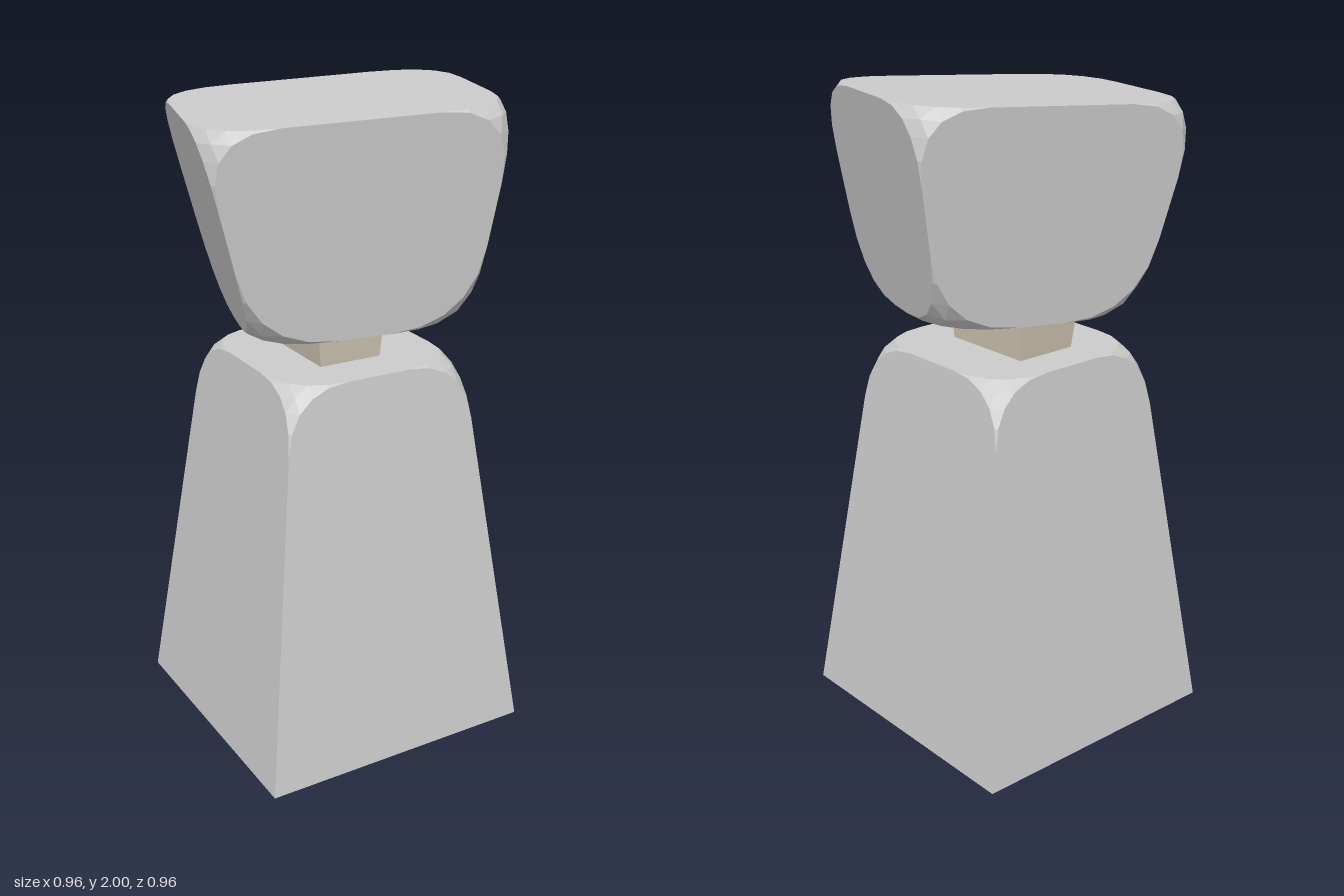
import * as THREE from 'three';
import { ConvexGeometry } from 'three/addons/geometries/ConvexGeometry.js';

const SEGMENTS = 5;

// Tapered block with flat faces, sharp edges and rounded-off corners.
// bottom/top: { y, x, z, round } with half widths and the corner cut length.
function taperedBlock(bottom, top) {
  const points = [];
  const corner = (level, sx, sz) => new THREE.Vector3(sx * level.x, level.y, sz * level.z);
  for (const [level, other] of [[bottom, top], [top, bottom]]) {
    for (const sx of [-1, 1]) for (const sz of [-1, 1]) {
      const p = corner(level, sx, sz);
      if (!level.round) { points.push(p); continue; }
      // the three edges leaving this corner, cut to the rounding length
      const edges = [corner(level, -sx, sz), corner(other, sx, sz), corner(level, sx, -sz)]
        .map((q) => q.sub(p).setLength(level.round));
      for (let i = 0; i < 3; i++) {
        const a = p.clone().add(edges[i]);
        const b = p.clone().add(edges[(i + 1) % 3]);
        points.push(...new THREE.QuadraticBezierCurve3(a, p, b).getPoints(SEGMENTS).slice(0, -1));
      }
      // bulge in the middle of the rounded corner
      points.push(edges.reduce((sum, e) => sum.addScaledVector(e, 0.14), p.clone()));
    }
  }
  return new ConvexGeometry(points);
}

export function createModel() {
  const model = new THREE.Group();
  model.name = 'blockFigure';
  const grey = new THREE.MeshStandardMaterial({ color: 0xcccccc, flatShading: true });
  const beige = new THREE.MeshStandardMaterial({ color: 0xd0c5b2, flatShading: true });

  const add = (name, geometry, material, position, turn, tilt = 0) => {
    const mesh = new THREE.Mesh(geometry, material);
    mesh.name = name;
    mesh.position.set(...position);
    mesh.rotation.set(0, turn, tilt, 'ZYX');
    model.add(mesh);
  };

  // Body: tall frustum, rounded only at its top corners, on a slightly sloping underside
  const body = taperedBlock(
    { y: 0.011, x: 0.44, z: 0.44, round: 0 },
    { y: 1.22, x: 0.29, z: 0.29, round: 0.19 });
  const pos = body.attributes.position;
  for (let i = 0; i < pos.count; i++) {
    const y = pos.getY(i);
    pos.setY(i, y + 0.018 * pos.getX(i) * (1 - y / 1.22));
  }
  body.computeVertexNormals();
  add('body', body, grey, [0, 0, 0], 0.096);

  // Neck: short block widening upwards
  add('neck', taperedBlock(
    { y: -0.11, x: 0.098, z: 0.15, round: 0 },
    { y: 0.11, x: 0.118, z: 0.168, round: 0 }), beige, [-0.015, 1.29, -0.01], 0.1, 0.03);

  // Head: block widening upwards, turned the other way and leaning
  add('head', taperedBlock(
    { y: -0.315, x: 0.315, z: 0.285, round: 0.24 },
    { y: 0.315, x: 0.44, z: 0.35, round: 0.22 }), grey, [0.003, 1.664, 0.02], -0.165, 0.05);

  return model;
}
